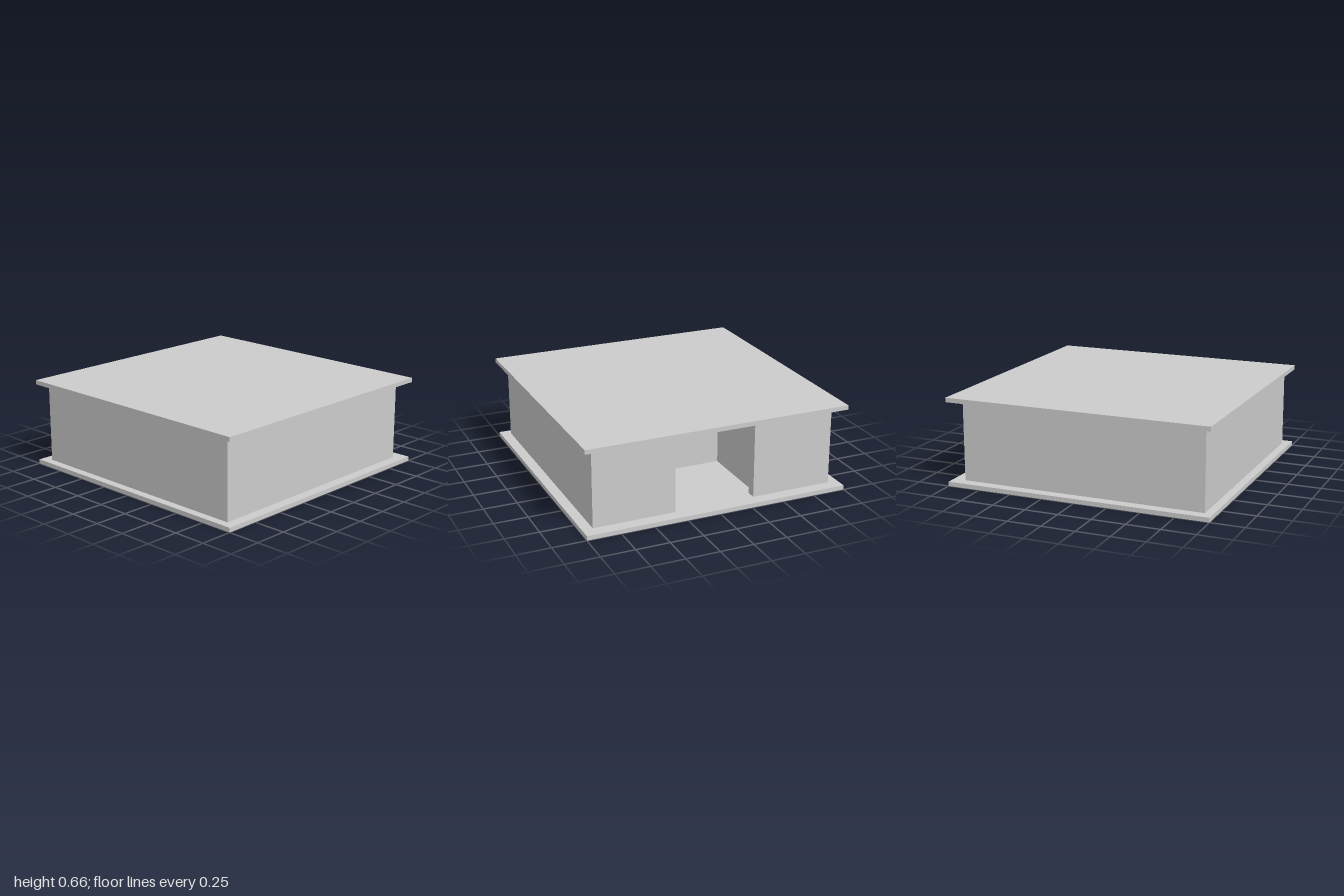
import * as THREE from 'three';

const FLOOR_TOP = 0.033, WALL_TOP = 0.618;
const OUTER = 0.07, INNER = 0.05; // wall thicknesses

export function createModel() {
  const model = new THREE.Group();
  model.name = 'pavilion';
  const material = new THREE.MeshStandardMaterial({ color: 0xcccccc, flatShading: true });

  // Box given by its limits on each axis
  function block(name, x0, x1, y0, y1, z0, z1) {
    const mesh = new THREE.Mesh(new THREE.BoxGeometry(x1 - x0, y1 - y0, z1 - z0), material);
    mesh.position.set((x0 + x1) / 2, (y0 + y1) / 2, (z0 + z1) / 2);
    mesh.name = name;
    model.add(mesh);
  }
  const wall = (name, x0, x1, z0, z1) => block(name, x0, x1, FLOOR_TOP, WALL_TOP, z0, z1);

  // Floor and roof slabs; the roof sits just clear of the walls
  block('floorSlab', -1, 1, 0, FLOOR_TOP, -1, 1);
  block('roofSlab', -1, 1, 0.627, 0.66, -1, 1);

  // Outer walls, with a wide full-height entrance in the back
  const W = 0.922, back = -0.905, front = 0.94, door = 0.305;
  wall('frontWall', -W, W, front - OUTER, front);
  wall('leftWall', W - OUTER, W, back + OUTER, front - OUTER);
  wall('rightWall', -W, -W + OUTER, back + OUTER, front - OUTER);
  wall('backWallLeft', door, W, back, back + OUTER);
  wall('backWallRight', -W, -door, back, back + OUTER);

  // Entrance hall: solid right side, doorway in the left side, closed end
  const hall = 0.35, hallEnd = -0.23;
  wall('hallWallRight', -hall - INNER, -hall, back + OUTER, hallEnd);
  wall('hallWallLeftNear', hall, hall + INNER, back + OUTER, -0.68);
  wall('hallWallLeftFar', hall, hall + INNER, -0.365, hallEnd);
  wall('hallEndWall', -hall - INNER, hall + INNER, hallEnd, hallEnd + INNER);

  return model;
}
